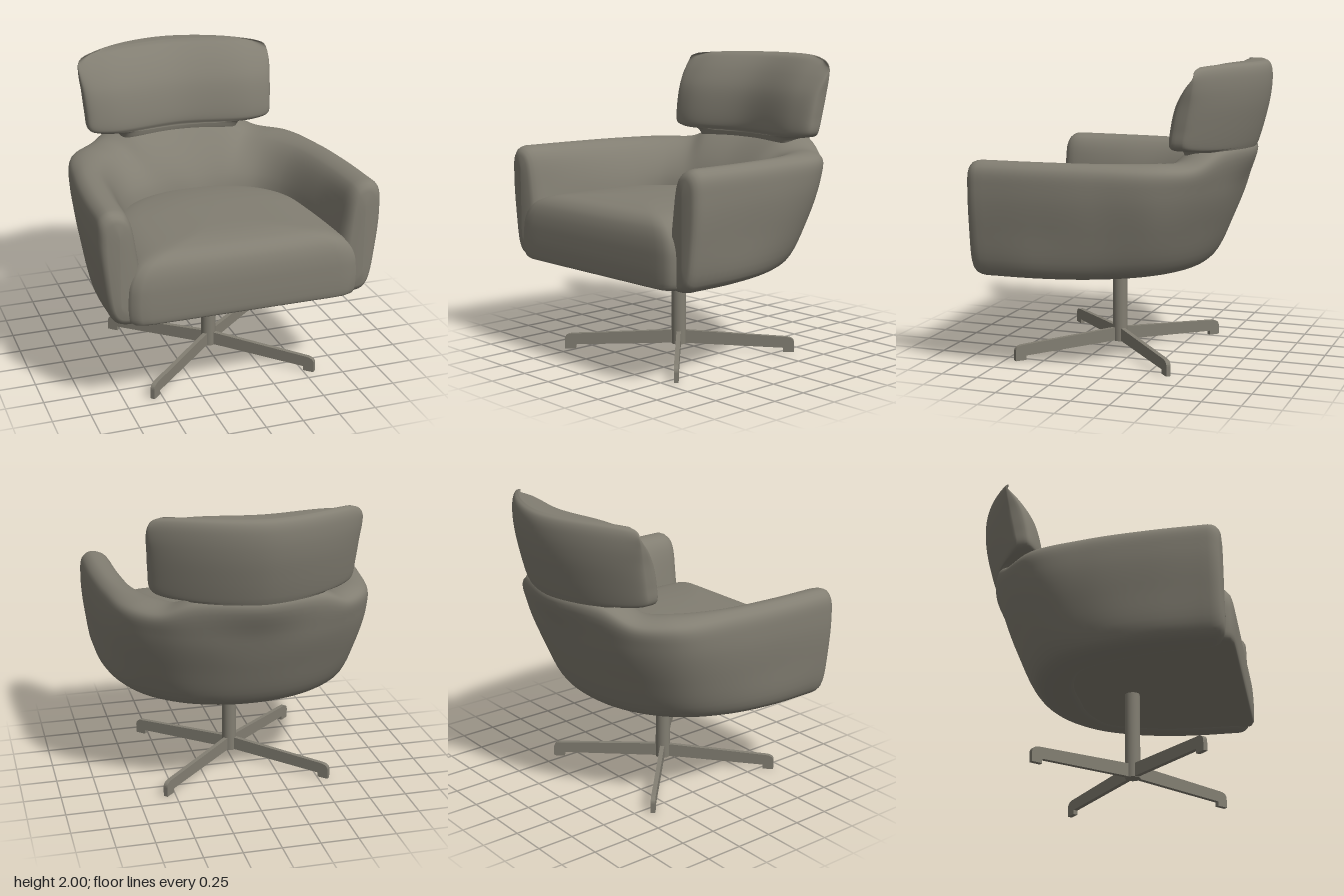
import * as THREE from 'three';

const V = (x, y, z) => new THREE.Vector3(x, y, z);
const taupe = new THREE.MeshStandardMaterial({ color: 0x827e72 });
taupe.name = 'taupe';

// Smooth surface through closed loops of points; faces are turned outward.
function loft(rows) {
  const n = rows[0].length, index = [];
  const pts = rows.flat();
  for (let i = 0; i < rows.length - 1; i++) {
    for (let j = 0; j < n; j++) {
      const a = i * n + j, b = i * n + (j + 1) % n, c = a + n, d = b + n;
      index.push(a, b, c, b, d, c);
    }
  }
  let volume = 0;
  const cross = V(0, 0, 0);
  for (let k = 0; k < index.length; k += 3) {
    cross.crossVectors(pts[index[k + 1]], pts[index[k + 2]]);
    volume += pts[index[k]].dot(cross);
  }
  if (volume < 0) index.reverse();
  const geometry = new THREE.BufferGeometry().setFromPoints(pts);
  geometry.setIndex(index);
  geometry.computeVertexNormals();
  return geometry;
}

// Adds in-between loops along a spline through each column.
function refine(rows, steps) {
  const columns = rows[0].map((_, j) =>
    new THREE.CatmullRomCurve3(rows.map((r) => r[j])).getPoints(steps));
  return columns[0].map((_, i) => columns.map((c) => c[i]));
}

function makePart(name, geometry) {
  const mesh = new THREE.Mesh(geometry, taupe);
  mesh.name = name;
  return mesh;
}

// Wraparound shell: rails run from one arm front round the back to the other.
function shellGeometry() {
  const rails = [ // height, then x,z (and own height) from arm front to centre back
    [0.64, [[0.66, 0.73], [0.64, 0.4], [0.56, 0.1], [0.46, -0.1], [0.32, -0.17], [0.17, -0.2], [0, -0.2]]],
    [0.63, [[0.8, 0.77], [0.79, 0.42], [0.72, 0.1], [0.58, -0.15], [0.4, -0.31], [0.2, -0.395], [0, -0.42]]],
    [0.68, [[0.86, 0.77], [0.855, 0.4], [0.79, 0.05], [0.66, -0.22], [0.46, -0.39], [0.24, -0.475], [0, -0.5]]],
    [0.95, [[0.915, 0.77], [0.905, 0.4], [0.86, 0], [0.75, -0.32], [0.54, -0.5], [0.28, -0.6], [0, -0.63]]],
    [1.2, [[0.935, 0.77], [0.93, 0.4], [0.895, 0], [0.81, -0.36], [0.6, -0.57], [0.34, -0.68], [0, -0.722]]],
    [1.34, [[0.92, 0.77], [0.915, 0.4], [0.88, 0], [0.8, -0.38], [0.62, -0.58], [0.4, -0.7, 1.43], [0, -0.8, 1.44]]],
    [1.385, [[0.86, 0.77], [0.85, 0.4], [0.81, 0], [0.7, -0.35], [0.56, -0.51], [0.37, -0.57, 1.46], [0, -0.63, 1.48]]],
    [1.35, [[0.75, 0.74], [0.74, 0.4], [0.69, 0], [0.57, -0.26], [0.44, -0.37], [0.33, -0.425, 1.41], [0, -0.47, 1.42]]],
    [1.1, [[0.68, 0.72], [0.64, 0.4], [0.565, 0.05], [0.46, -0.1], [0.32, -0.17], [0.17, -0.2], [0, -0.2]]],
  ];
  const lines = rails.map(([level, half]) => {
    const left = half.map(([x, z, y = level]) => V(x, y, z));
    const right = left.slice(0, -1).reverse().map((p) => V(-p.x, p.y, p.z));
    return new THREE.CatmullRomCurve3([...left, ...right]).getPoints(84);
  });
  const sections = lines[0].map((_, i) =>
    new THREE.CatmullRomCurve3(lines.map((l) => l[i]), true).getPoints(54).slice(0, -1));

  // Rounded arm fronts, levelling out to a flat face
  const cap = (section) => {
    const box = new THREE.Box3().setFromPoints(section);
    const c = box.getCenter(V(0, 0, 0)), h = box.getSize(V(0, 0, 0)).multiplyScalar(0.5);
    const pivot = c.x * 1.03;
    return [[0.004, 0.025], [0.014, 0.048], [0.032, 0.066], [0.06, 0.078], [h.x, 0.083]].map(([d, dz]) =>
      section.map((p) => V(
        pivot + (p.x - pivot) * (1 - d / h.x),
        c.y + (p.y - c.y) * (1 - d / h.y),
        THREE.MathUtils.lerp(p.z, 0.77, dz / 0.083) + dz)));
  };
  return loft([...cap(sections[0]).reverse(), ...sections, ...cap(sections.at(-1))]);
}

// Crowned seat cushion, square in front of the arms and round behind
function cushionGeometry() {
  const levels = [ // scale, height
    [0, 0.64], [0.95, 0.64], [0.985, 0.66], [1, 0.72], [1, 0.82], [0.988, 0.9], [0.95, 0.97],
    [0.88, 1.025], [0.75, 1.068], [0.55, 1.092], [0.3, 1.106], [0, 1.11],
  ];
  const rows = levels.map(([s, y]) => Array.from({ length: 120 }, (_, j) => {
    const a = (j / 120) * Math.PI * 2, c = Math.cos(a), d = Math.sin(a);
    const n = d > 0 ? 20 : 2;
    const r = Math.pow(Math.abs(c) ** n + Math.abs(d) ** n, -1 / n);
    const depth = d > 0 ? Math.sqrt(s) : s;
    return V(0.775 * s * c * r, y, 0.24 + 0.66 * depth * d * r);
  }));
  return loft(refine(rows, 44));
}

// Winged headrest with a narrow neck sunk into the shell
function headrestGeometry() {
  const levels = [ // height, half width, front setback, rear z at the centre
    [1.2, 0.44, 0.1, -0.66], [1.34, 0.46, 0.06, -0.745], [1.41, 0.43, 0.02, -0.785],
    [1.45, 0.46, 0.01, -0.803], [1.462, 0.6, 0.01, -0.808], [1.49, 0.655, 0, -0.818],
    [1.6, 0.67, 0.01, -0.85], [1.75, 0.68, 0.05, -0.885], [1.87, 0.69, 0.12, -0.898],
    [1.95, 0.685, 0.19, -0.892], [1.985, 0.66, 0.235, -0.875], [2.0, 0.6, 0.29, -0.845],
  ];
  const row = ([y, w, setback, rear], thickness = 1) => Array.from({ length: 96 }, (_, j) => {
    const a = (j / 96) * Math.PI * 2, c = Math.cos(a), s = Math.sin(a);
    const x = w * c, ax = Math.abs(x);
    const back = rear + 0.3 * Math.pow(ax / 0.69, 1.8);
    const front = Math.max(back + 0.02,
      -0.46 - setback + 0.07 * THREE.MathUtils.smoothstep(ax, 0, 0.52));
    const edge = Math.sign(s) * Math.pow(Math.max(0, 1 - c ** 8), s > 0 ? 1 / 3 : 1 / 6);
    const z = (front + back) / 2 + thickness * edge * (front - back) / 2;
    const sag = 0.03 * Math.pow(ax / 0.69, 4) * THREE.MathUtils.smoothstep(y, 1.7, 2);
    return V(x, y - sag, z);
  });
  const body = refine(levels.map((l) => row(l)), 66);
  return loft([row(levels[0], 0), ...body, row(levels.at(-1), 0)]);
}

// Star base leg, drawn from the side and extruded
function legGeometry() {
  const s = new THREE.Shape();
  s.moveTo(0, 0.055);
  s.lineTo(0.71, 0.03);
  s.lineTo(0.71, 0);
  s.lineTo(0.785, 0);
  s.lineTo(0.785, 0.065);
  s.quadraticCurveTo(0.785, 0.1, 0.735, 0.105);
  s.lineTo(0, 0.145);
  s.closePath();
  return new THREE.ExtrudeGeometry(s, { depth: 0.03, bevelEnabled: false, curveSegments: 6 })
    .translate(0, 0, -0.015);
}

export function createModel() {
  const chair = new THREE.Group();
  chair.name = 'swivelArmchair';
  chair.add(
    makePart('armShell', shellGeometry()),
    makePart('seatCushion', cushionGeometry()),
    makePart('headrest', headrestGeometry()),
  );

  const base = new THREE.Group();
  base.name = 'swivelBase';
  base.position.z = 0.14;
  const post = makePart('post', new THREE.CylinderGeometry(0.05, 0.05, 0.62, 32));
  post.position.y = 0.36;
  base.add(post);
  const leg = legGeometry();
  const spread = Math.atan2(0.55, 0.58);
  for (const angle of [spread, Math.PI - spread, Math.PI + spread, -spread]) {
    const mesh = makePart('baseLeg', leg);
    mesh.rotation.y = angle;
    base.add(mesh);
  }
  chair.add(base);
  return chair;
}
